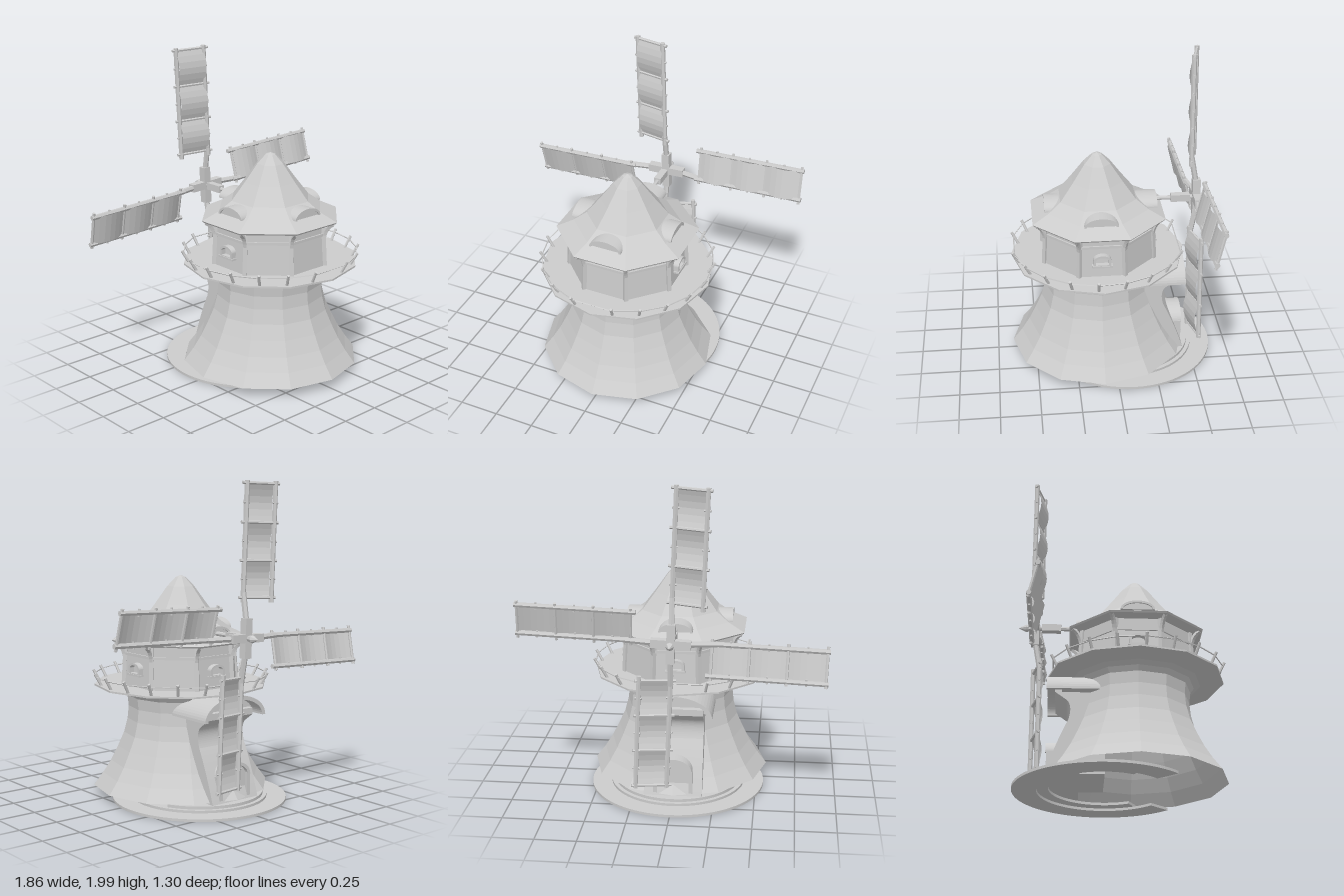
import * as THREE from 'three';

const grey = new THREE.MeshStandardMaterial({ color: 0xcccccc, flatShading: true, side: THREE.DoubleSide });
const V = (x, y, z) => new THREE.Vector3(x, y, z);

function add(parent, name, geometry, x = 0, y = 0, z = 0) {
  const mesh = new THREE.Mesh(geometry, grey);
  mesh.name = name;
  mesh.position.set(x, y, z);
  parent.add(mesh);
  return mesh;
}

function group(parent, name) {
  const g = new THREE.Group();
  g.name = name;
  parent.add(g);
  return g;
}

// Round bar between two points
function bar(parent, name, a, b, r0, r1 = r0, sides = 6) {
  const mesh = add(parent, name, new THREE.CylinderGeometry(r1, r0, a.distanceTo(b), sides));
  mesh.position.copy(a).add(b).multiplyScalar(0.5);
  mesh.quaternion.setFromUnitVectors(V(0, 1, 0), b.clone().sub(a).normalize());
  return mesh;
}

// Faceted lathe; k scales the radii (apothem to corner radius)
const lathe = (pts, sides, start = 0, k = 1) =>
  new THREE.LatheGeometry(pts.map(([r, y]) => new THREE.Vector2(r * k, y)), sides, start);

const extrude = (shape, depth) =>
  new THREE.ExtrudeGeometry(shape, { depth, bevelEnabled: false, curveSegments: 14 });

// Half-ellipse arch on a sill, solid or with an inner opening of thickness t
function arch(a, b, t = 0) {
  const s = new THREE.Shape();
  s.moveTo(a, 0);
  s.absellipse(0, 0, a, b, 0, Math.PI, false);
  if (t) {
    s.lineTo(-a + t, 0);
    s.absellipse(0, 0, a - t, b - t, Math.PI, 0, true);
  }
  s.closePath();
  return s;
}

// Disc step centred on z = -0.1, cut off in front of zMax
function step(r, zMax, inner) {
  const s = new THREE.Shape();
  const cut = Math.asin(Math.min(1, (zMax + 0.1) / r));
  s.absarc(0, 0, r, cut, -Math.PI - cut, true);
  if (inner) s.absarc(0, 0, inner, -Math.PI - cut, cut, false);
  s.closePath();
  return s;
}

function buildBase(model) {
  const base = group(model, 'steppedBase');
  [[0.548, 0.31, 0.4, 0, 0.016], [0.425, 0.11, 0.33, 0.016, 0.016], [0.4, -0.25, 0, 0.032, 0.018]]
    .forEach(([r, zMax, inner, y, h]) => {
      const geo = new THREE.ExtrudeGeometry(step(r, zMax, inner), { depth: h, bevelEnabled: false, curveSegments: 48 });
      add(base, 'baseStep', geo.rotateX(Math.PI / 2), 0, y + h, -0.1);
    });
}

function buildTower(tower) {
  // Twelve-sided flared shell, open below
  add(tower, 'towerWall', lathe([[0.56, 0.06], [0.5, 0.14], [0.45, 0.22], [0.405, 0.31], [0.365, 0.4],
    [0.342, 0.49], [0.334, 0.57], [0.342, 0.64], [0.365, 0.67], [0.41, 0.69]], 12));
  add(tower, 'deck', lathe([[0.34, 0.685], [0.41, 0.688], [0.55, 0.705], [0.55, 0.716], [0, 0.716]], 12));

  // Leaning railing posts with a thin rail
  const railing = group(tower, 'railing');
  const tops = [];
  for (let i = -9; i <= 9; i++) {
    if (!i) continue;
    const a = Math.sign(i) * (14 + 18 * (Math.abs(i) - 1)) * Math.PI / 180;
    const at = (r, y) => V(Math.sin(a) * r, y, Math.cos(a) * r);
    bar(railing, 'railingPost', at(0.515, 0.712), at(0.558, 0.79), 0.009);
    tops.push(at(0.547, 0.77));
  }
  tops.forEach((p, i) => bar(railing, 'rail', p, tops[(i + 1) % tops.length], 0.004, 0.004, 4));
}

function buildCabin(tower) {
  const k = 1 / Math.cos(Math.PI / 8);
  add(tower, 'cabinWall', lathe([[0.345, 0.71], [0.33, 0.92], [0.33, 1.0]], 8, Math.PI / 8, k));
  add(tower, 'wallBand', lathe([[0.33, 0.905], [0.34, 0.905], [0.34, 0.922], [0.33, 0.922]], 8, Math.PI / 8, k));
  add(tower, 'roof', lathe([[0.32, 0.985], [0.405, 0.99], [0.412, 1.0], [0.31, 1.052], [0.235, 1.11],
    [0.155, 1.22], [0.08, 1.33], [0.03, 1.385], [0, 1.397]], 8, Math.PI / 8, k));

  for (let i = 0; i < 8; i++) {
    // Corner posts with curved brackets to the eaves
    const a = (i + 0.5) * Math.PI / 4;
    const at = (r, y) => V(Math.sin(a) * r, y, Math.cos(a) * r);
    bar(tower, 'cornerPost', at(0.372, 0.71), at(0.356, 0.99), 0.018, 0.018, 4);
    const curve = new THREE.QuadraticBezierCurve3(at(0.362, 0.87), at(0.37, 0.965), at(0.425, 0.988));
    add(tower, 'eaveBracket', new THREE.TubeGeometry(curve, 6, 0.014, 4));
  }

  for (let i = 0; i < 4; i++) {
    const side = group(tower, 'cabinSide');
    side.rotation.y = i * Math.PI / 2;
    const end = i === 2 ? 0.37 : 0.335;
    // Eyebrow dormer with a projecting lip
    add(side, 'dormer', extrude(arch(0.1, 0.055), end - 0.2), 0, 1.05, 0.19);
    add(side, 'dormerLip', extrude(arch(0.105, 0.058, 0.014), end - 0.2), 0, 1.048, 0.2);
    if (i) {
      // Arched window with frame and sill
      const s = new THREE.Shape();
      s.moveTo(-0.055, 0);
      s.lineTo(0.055, 0);
      s.lineTo(0.055, 0.04);
      s.absellipse(0, 0.04, 0.055, 0.035, 0, Math.PI, false);
      s.closePath();
      const hole = new THREE.Path();
      hole.moveTo(-0.04, 0.012);
      hole.lineTo(0.04, 0.012);
      hole.lineTo(0.04, 0.04);
      hole.absellipse(0, 0.04, 0.04, 0.022, 0, Math.PI, false);
      s.holes.push(hole);
      add(side, 'windowFrame', extrude(s, 0.05), 0, 0.795, 0.32);
      add(side, 'windowSill', new THREE.BoxGeometry(0.125, 0.012, 0.05), 0, 0.796, 0.35);
    }
  }
}

// Rear entrance: bulging wall, large canopy and small arched door
function buildEntrance(model) {
  const porch = group(model, 'entrance');
  const s = new THREE.Shape();
  s.moveTo(0.1, 0.05);
  s.lineTo(0.45, 0.05);
  s.quadraticCurveTo(0.39, 0.24, 0.32, 0.38);
  s.quadraticCurveTo(0.29, 0.47, 0.33, 0.51);
  s.lineTo(0.4, 0.56);
  s.lineTo(0.4, 0.6);
  s.lineTo(0.1, 0.6);
  s.closePath();
  add(porch, 'entranceWall', extrude(s, 0.36).rotateY(Math.PI / 2), -0.18, 0, 0);
  add(porch, 'canopy', extrude(arch(0.24, 0.14, 0.025), 0.32), 0, 0.56, -0.45);
  add(porch, 'canopyBack', extrude(arch(0.225, 0.125), 0.22), 0, 0.56, -0.36);
  add(porch, 'doorHood', extrude(arch(0.12, 0.09, 0.02), 0.12), 0, 0.2, -0.45);
  add(porch, 'doorTop', extrude(arch(0.105, 0.075), 0.1), 0, 0.2, -0.425);
  add(porch, 'door', new THREE.BoxGeometry(0.2, 0.16, 0.1), 0, 0.125, -0.375);
  for (const x of [-0.11, 0.11]) add(porch, 'doorPost', new THREE.BoxGeometry(0.025, 0.16, 0.1), x, 0.13, -0.395);
}

// One blade pointing up, sail to the -x side
function buildBlade(rotor, angle) {
  const blade = group(rotor, 'blade');
  blade.rotation.z = angle;
  const zs = -0.503, zr = -0.548, xs = 0.005, xr = -0.18;
  add(blade, 'hubArm', new THREE.BoxGeometry(0.05, 0.12, 0.05), 0, 0.06, -0.537);
  bar(blade, 'armBeam', V(0, 0.08, -0.537), V(xs, 0.27, zs), 0.018);
  bar(blade, 'stock', V(xs, 0.21, zs), V(xs, 0.93, zs), 0.016);
  bar(blade, 'outerRail', V(xr, 0.21, zr), V(xr, 0.93, zr), 0.015);
  const rows = [0.24, 0.46, 0.685, 0.915];
  rows.forEach((y, i) => {
    bar(blade, 'crossbar', V(xs + 0.03, y, zs + 0.006), V(xr - 0.025, y, zr - 0.006), 0.01);
    if (i === 3) return;
    const h = rows[i + 1] - y, mid = y + h / 2;
    // Sagging cloth between two crossbars
    const cloth = new THREE.PlaneGeometry(xs - xr, h, 2, 6);
    const p = cloth.attributes.position;
    for (let j = 0; j < p.count; j++) {
      const t = p.getX(j) / (xs - xr);
      p.setZ(j, t * (zs - zr) + 0.028 * Math.cos(Math.PI * p.getY(j) / h));
    }
    add(blade, 'sail', cloth, (xs + xr) / 2, mid, (zs + zr) / 2);
    for (const [x, z] of [[xs, zs], [xr, zr]]) {
      bar(blade, 'peg', V(x - 0.022, mid, z), V(x + 0.022, mid, z), 0.007);
    }
  });
}

function buildRotor(model) {
  const rotor = group(model, 'rotor');
  rotor.position.y = 1.062;
  bar(rotor, 'shaft', V(0, 0, -0.1), V(0, 0, -0.6), 0.014, 0.014, 8);
  add(rotor, 'shaftBlock', new THREE.BoxGeometry(0.045, 0.045, 0.12), 0, 0, -0.435);
  bar(rotor, 'noseCollar', V(0, 0, -0.555), V(0, 0, -0.595), 0.016, 0.025, 8);
  bar(rotor, 'noseTip', V(0, 0, -0.595), V(0, 0, -0.64), 0.025, 0.002, 8);
  for (let i = 0; i < 4; i++) buildBlade(rotor, 0.04 + i * Math.PI / 2);
}

export function createModel() {
  const model = new THREE.Group();
  model.name = 'windmill';
  buildBase(model);
  const tower = group(model, 'tower');
  tower.position.z = 0.09;
  buildTower(tower);
  buildCabin(tower);
  buildEntrance(model);
  buildRotor(model);
  return model;
}
